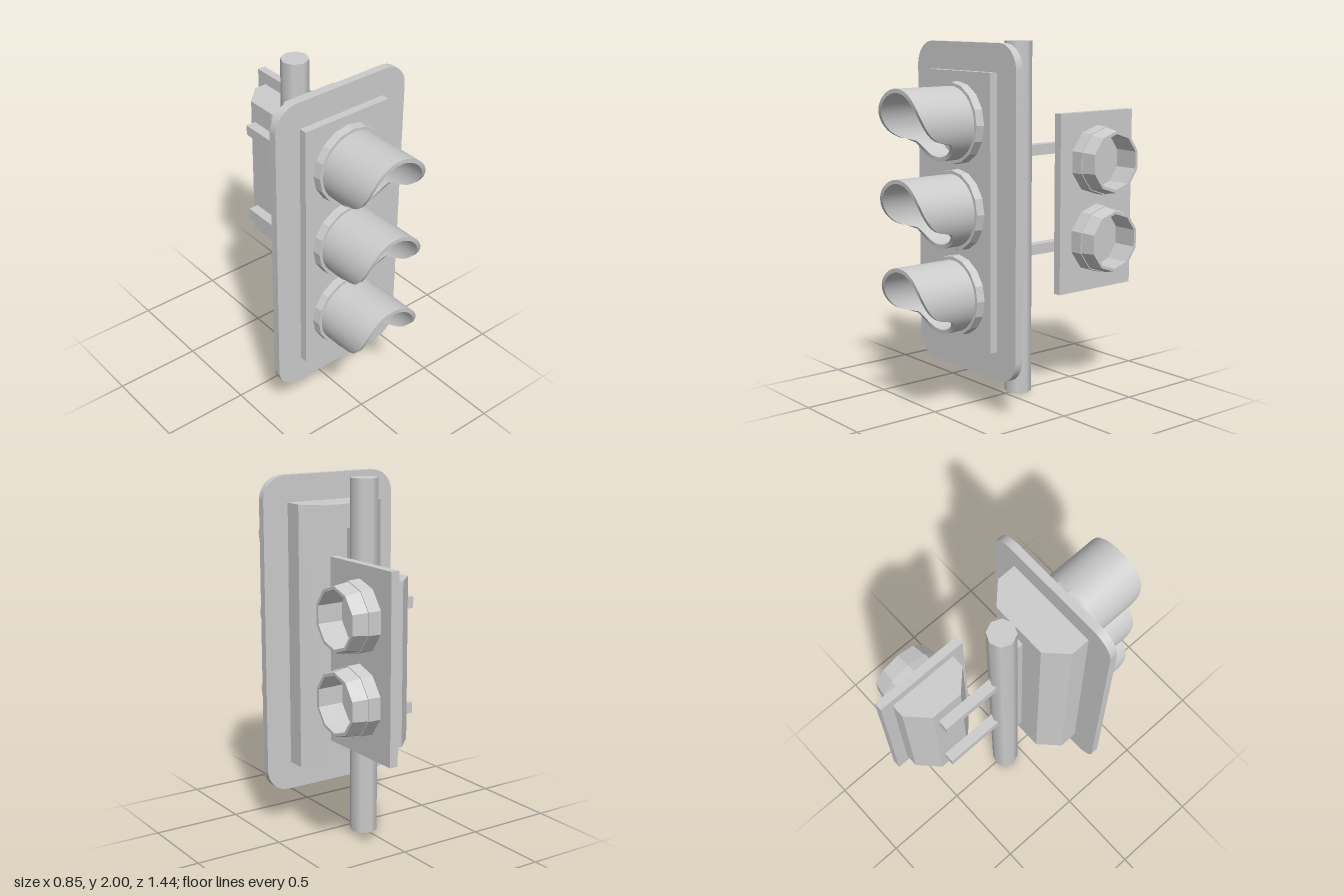
import * as THREE from 'three';
import { toCreasedNormals } from 'three/addons/utils/BufferGeometryUtils.js';

const material = new THREE.MeshStandardMaterial({ color: 0xcccccc });
const flatMaterial = new THREE.MeshStandardMaterial({ color: 0xcccccc, flatShading: true });

function add(parent, name, geometry, x = 0, y = 0, z = 0, mat = material) {
  const mesh = new THREE.Mesh(geometry, mat);
  mesh.name = name;
  mesh.position.set(x, y, z);
  parent.add(mesh);
  return mesh;
}

// Housing with two chamfered rear edges, from its plan; it faces +z
function housingGeometry(halfWidth, backHalf, zBack, zChamfer, zFront, height) {
  const plan = [
    [-backHalf, zBack], [backHalf, zBack], [halfWidth, zChamfer],
    [halfWidth, zFront], [-halfWidth, zFront], [-halfWidth, zChamfer],
  ];
  const shape = new THREE.Shape(plan.map(([x, z]) => new THREE.Vector2(x, -z)));
  return new THREE.ExtrudeGeometry(shape, { depth: height, bevelEnabled: false }).rotateX(-Math.PI / 2);
}

function roundedPlateGeometry(w, h, r, depth) {
  const x = w / 2, y = h / 2, s = new THREE.Shape();
  s.absarc(x - r, y - r, r, 0, Math.PI / 2);
  s.absarc(-x + r, y - r, r, Math.PI / 2, Math.PI);
  s.absarc(-x + r, -y + r, r, Math.PI, Math.PI * 1.5);
  s.absarc(x - r, -y + r, r, Math.PI * 1.5, Math.PI * 2);
  const g = new THREE.ExtrudeGeometry(s, { depth, bevelEnabled: false, curveSegments: 8 });
  return toCreasedNormals(g, Math.PI / 6);
}

// Turned part around the z axis; profile points are [radius, z]
function turnedGeometry(profile, sides) {
  const points = profile.map(([r, z]) => new THREE.Vector2(r, z));
  return new THREE.LatheGeometry(points, sides).rotateX(Math.PI / 2);
}

// Length of the cut visor at relative height t (-1 bottom, 1 top)
function visorLength(t) {
  if (t > 0.75) return 0.395;
  if (t > -0.43) return 0.205 + 0.19 * Math.sqrt(Math.max(0, 1 - ((0.75 - t) / 1.18) ** 2));
  return 0.135 + 0.07 * (1 - Math.sqrt(Math.max(0, 1 - ((t + 1) / 0.57) ** 2)));
}

// Tube whose open end is trimmed to an S-curve, long above and short below
function visorGeometry(outer, inner) {
  const g = turnedGeometry([[outer, 0], [outer, 1], [inner, 1], [inner, 0]], 64);
  const p = g.attributes.position;
  for (let i = 0; i < p.count; i++) {
    p.setZ(i, p.getZ(i) * visorLength(p.getY(i) / outer));
  }
  return toCreasedNormals(g, Math.PI / 5);
}

export function createModel() {
  const model = new THREE.Group();
  model.name = 'trafficSignal';

  // Pole and the strip holding the vehicle signal
  add(model, 'pole', new THREE.CylinderGeometry(0.077, 0.077, 2, 8), -0.005, 1, -0.097);
  add(model, 'mountingStrip', new THREE.BoxGeometry(0.06, 1.23, 0.09), 0, 1.105, -0.025);

  // Vehicle signal facing the front
  const vehicle = new THREE.Group();
  vehicle.name = 'vehicleSignal';
  model.add(vehicle);
  add(vehicle, 'vehicleHousing', housingGeometry(0.272, 0.163, 0.017, 0.125, 0.325, 1.49), 0, 0.36, 0);
  add(vehicle, 'vehicleBackplate', roundedPlateGeometry(0.85, 1.8, 0.135, 0.045), 0, 1.1, 0.235);
  const ring = turnedGeometry([[0.222, 0], [0.217, 0.046], [0.19, 0.046], [0.19, 0]], 16);
  const visor = visorGeometry(0.197, 0.175);
  const lens = new THREE.CircleGeometry(0.18, 40);
  for (const y of [1.575, 1.105, 0.635]) {
    add(vehicle, 'lensRing', ring, 0, y, 0.325, flatMaterial);
    add(vehicle, 'visor', visor, 0, y, 0.325);
    add(vehicle, 'lens', lens, 0, y, 0.332);
  }

  // Pedestrian signal, built facing +z and turned to face the left side
  const pedestrian = new THREE.Group();
  pedestrian.name = 'pedestrianSignal';
  pedestrian.position.z = -0.4475;
  pedestrian.rotation.y = Math.PI / 2;
  model.add(pedestrian);
  add(pedestrian, 'pedestrianHousing', housingGeometry(0.203, 0.095, 0.03, 0.14, 0.217, 0.87), 0, 0.67, 0);
  add(pedestrian, 'pedestrianBackplate', new THREE.BoxGeometry(0.545, 1.01, 0.048), 0, 1.105, 0.239);
  const hood = turnedGeometry(
    [[0.195, 0], [0.192, 0.073], [0.187, 0.073], [0.172, 0.158], [0.155, 0.158], [0.16, 0]], 10);
  const smallLens = new THREE.CircleGeometry(0.165, 10);
  for (const y of [1.34, 0.895]) {
    add(pedestrian, 'pedestrianHood', hood, 0, y, 0.262, flatMaterial);
    add(pedestrian, 'pedestrianLens', smallLens, 0, y, 0.27);
  }

  // Arms from the pole to the pedestrian signal
  for (const y of [1.39, 0.82]) {
    add(model, 'supportArm', new THREE.BoxGeometry(0.06, 0.06, 0.39), 0, y, -0.315);
  }
  return model;
}
